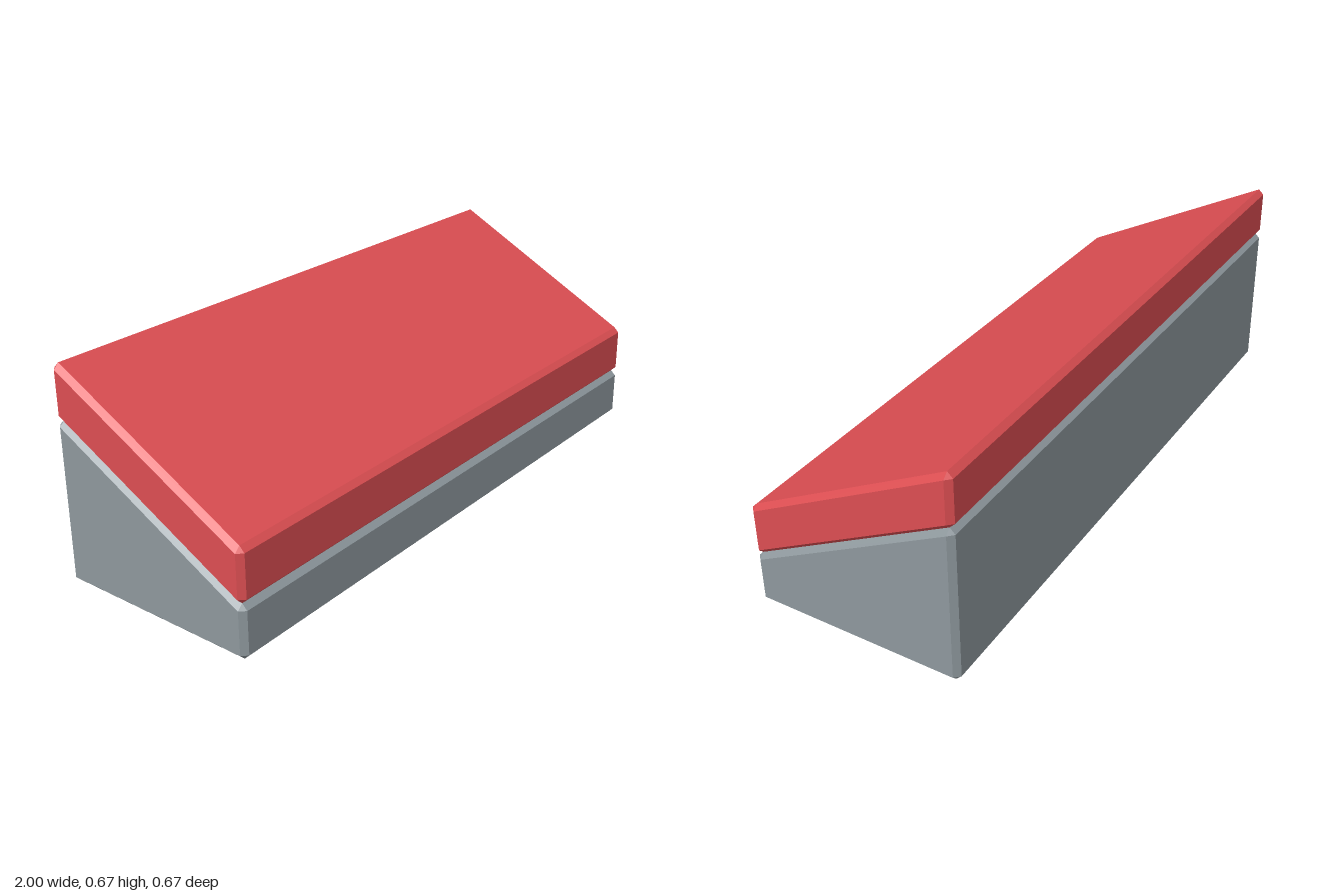
import * as THREE from 'three';
import { ConvexGeometry } from 'three/addons/geometries/ConvexGeometry.js';

const HALF_X = 1, HALF_Z = 1 / 3, BEVEL = 1 / 60;

// Block with bevelled edges; its bottom and top may each slope from front to back.
function bevelledBlock(name, material, front, back) {
  const points = [];
  for (const sx of [-1, 1]) {
    for (const sz of [-1, 1]) {
      const [bottom, top] = sz > 0 ? front : back;
      for (const [y, inward] of [[bottom, BEVEL], [top, -BEVEL]]) {
        const x = sx * HALF_X, z = sz * HALF_Z;
        const xIn = x - sx * BEVEL, zIn = z - sz * BEVEL;
        // One point on each of the three faces meeting at the corner
        points.push(
          new THREE.Vector3(x, y + inward, zIn),
          new THREE.Vector3(xIn, y, zIn),
          new THREE.Vector3(xIn, y + inward, z)
        );
      }
    }
  }
  const mesh = new THREE.Mesh(new ConvexGeometry(points), material);
  mesh.name = name;
  return mesh;
}

export function createModel() {
  const red = new THREE.MeshStandardMaterial({ name: 'red', color: 0xdc4e52 });
  const grey = new THREE.MeshStandardMaterial({ name: 'grey', color: 0x8e989d });

  const model = new THREE.Group();
  model.name = 'slopedBlock';
  // Wedge base on the ground, with a sloped slab resting on it
  model.add(
    bevelledBlock('wedgeBase', grey, [0, 1 / 6], [0, 1 / 2]),
    bevelledBlock('slopedSlab', red, [1 / 6, 1 / 3], [1 / 2, 2 / 3])
  );
  return model;
}
